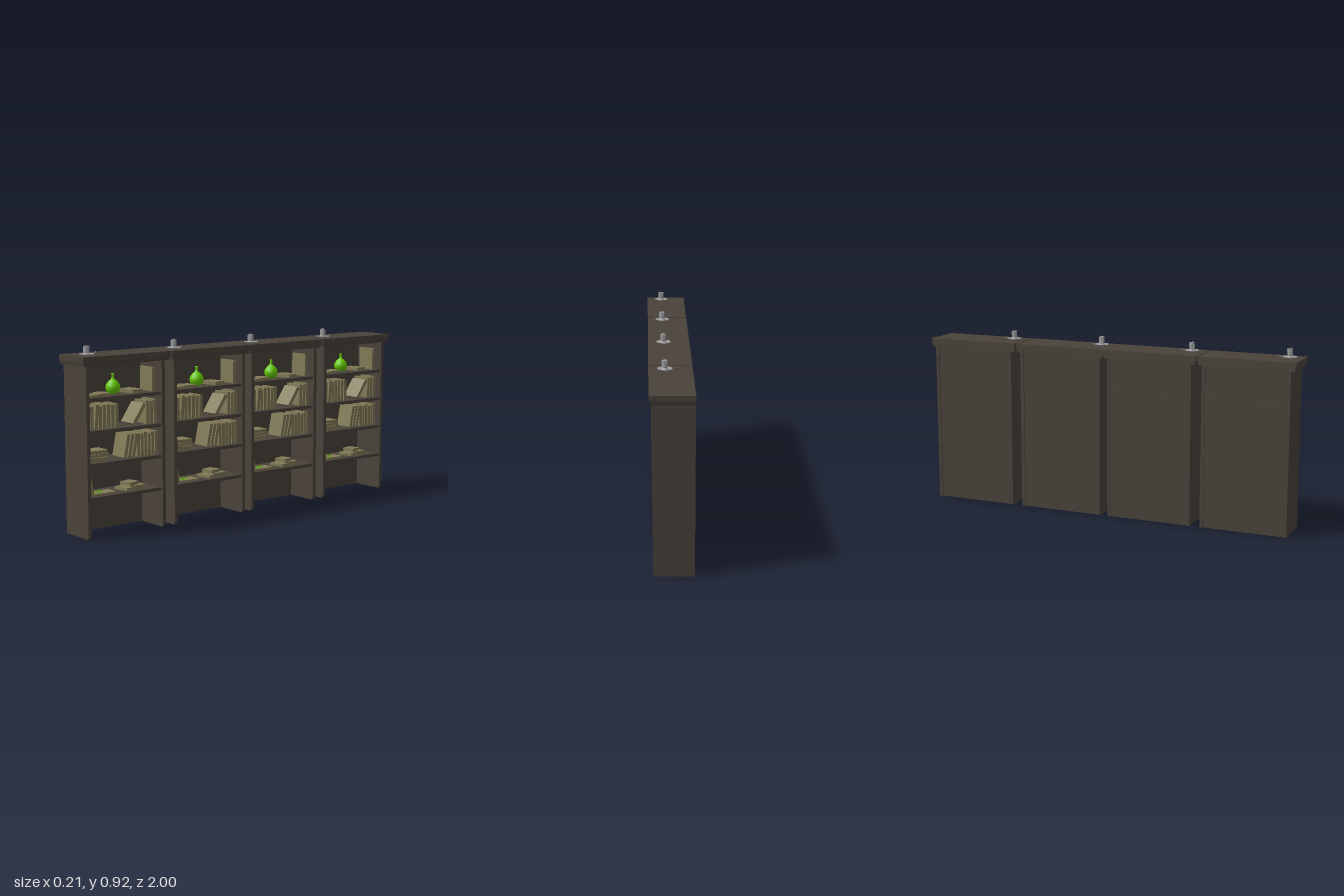
import * as THREE from 'three';

const wood = new THREE.MeshStandardMaterial({ color: 0x4a433b });
const paper = new THREE.MeshStandardMaterial({ color: 0x827b58 });
const green = new THREE.MeshStandardMaterial({ color: 0x66cc00 });
const grey = new THREE.MeshStandardMaterial({ color: 0xcccccc });
const metal = new THREE.MeshStandardMaterial({ color: 0x9a9a9c, side: THREE.DoubleSide });

const BACK = -0.105, FRONT = 0.086, HALF = 0.225, SIDE = 0.018;
const SHELVES = [0.198, 0.359, 0.514, 0.669]; // top surfaces

function add(parent, name, geometry, material, x = 0, y = 0, z = 0) {
  const mesh = new THREE.Mesh(geometry, material);
  mesh.name = name;
  mesh.position.set(x, y, z);
  parent.add(mesh);
  return mesh;
}

// Box given by its two x, y and z limits
function slab(parent, name, x0, x1, y0, y1, z0, z1, material = wood) {
  return add(parent, name, new THREE.BoxGeometry(x1 - x0, y1 - y0, z1 - z0), material,
    (x0 + x1) / 2, (y0 + y1) / 2, (z0 + z1) / 2);
}

// Upright book standing on y, leaning by tilt about its foot
function uprightBook(parent, z, y, height, thick, depth, tilt = 0, x = 0) {
  const geo = new THREE.BoxGeometry(depth, height, thick).translate(0, height / 2, 0);
  const book = add(parent, 'book', geo, paper, x, y + Math.abs(Math.sin(tilt)) * thick / 2, z);
  book.rotation.x = tilt;
}

// Book lying flat, turned a little
function flatBook(parent, z, y, length, thick, depth, turn = 0, x = 0) {
  add(parent, 'flatBook', new THREE.BoxGeometry(depth, thick, length), paper, x, y + thick / 2, z).rotation.y = turn;
}

function carcass(parent) {
  // Side panels with a chamfered front foot
  const outline = new THREE.Shape([
    [BACK, 0], [FRONT - 0.01, 0], [FRONT, 0.016], [FRONT, 0.822], [BACK, 0.822],
  ].map(([x, y]) => new THREE.Vector2(x, y)));
  const panel = new THREE.ExtrudeGeometry(outline, { depth: SIDE, bevelEnabled: false });
  add(parent, 'sidePanel', panel, wood, 0, 0, HALF - SIDE);
  add(parent, 'sidePanel', panel, wood, 0, 0, -HALF);

  // Inset back and the shelves, whose rear edges show behind it
  const inner = HALF - SIDE;
  slab(parent, 'backPanel', BACK + 0.006, BACK + 0.014, 0, 0.822, -inner, inner);
  for (const y of SHELVES) slab(parent, 'shelf', BACK + 0.002, FRONT - 0.008, y - 0.016, y, -inner, inner);

  // Cornice: a moulding flaring upward, then a flat top
  const moulding = new THREE.BoxGeometry(1, 0.02, 2);
  const p = moulding.attributes.position;
  for (let i = 0; i < p.count; i++) {
    const upper = p.getY(i) > 0;
    p.setX(i, p.getX(i) < 0 ? BACK : upper ? 0.101 : 0.096);
    p.setZ(i, Math.sign(p.getZ(i)) * (upper ? 0.247 : 0.242));
  }
  moulding.computeVertexNormals();
  add(parent, 'corniceMoulding', moulding, wood, 0, 0.831, 0);
  slab(parent, 'corniceTop', BACK, 0.103, 0.841, 0.865, -0.249, 0.249);
}

function books(parent) {
  const [s0, s1, s2, s3] = SHELVES;
  // Third shelf: a row, one slumped book, and a short row
  const heights = [0.113, 0.11, 0.116, 0.108, 0.114, 0.115, 0.11, 0.114];
  heights.forEach((h, i) => uprightBook(parent, 0.196 - i * 0.0235, s2, h, 0.018, 0.1, i === 2 ? -0.08 : 0));
  uprightBook(parent, -0.066, s2, 0.113, 0.018, 0.1, -0.6);
  for (let i = 0; i < 3; i++) uprightBook(parent, -0.148 - i * 0.022, s2, heights[i], 0.018, 0.1);

  // Second shelf: a stack, leaning books and a row
  flatBook(parent, 0.15, s1, 0.115, 0.02, 0.095);
  flatBook(parent, 0.14, s1 + 0.021, 0.125, 0.015, 0.09, 0.06);
  flatBook(parent, 0.142, s1 + 0.037, 0.12, 0.016, 0.085, -0.05);
  for (let i = 0; i < 3; i++) uprightBook(parent, -0.014 - i * 0.023, s1, 0.115, 0.017, 0.1, -0.2);
  for (let i = 0; i < 6; i++) uprightBook(parent, -0.092 - i * 0.0208, s1, heights[i], 0.017, 0.1);

  // Bottom shelf: a leaning book and a loose pile
  uprightBook(parent, 0.172, s0, 0.11, 0.016, 0.1, 0.2);
  flatBook(parent, -0.04, s0, 0.06, 0.014, 0.085, 0.2, 0.005);
  flatBook(parent, -0.095, s0, 0.075, 0.02, 0.085, -0.12);
  flatBook(parent, -0.07, s0 + 0.021, 0.065, 0.015, 0.065, 0.25);

  // Top shelf
  flatBook(parent, 0.15, s3, 0.06, 0.008, 0.08, 0.15);
  flatBook(parent, 0.085, s3, 0.06, 0.011, 0.08, -0.2);
  flatBook(parent, -0.085, s3, 0.07, 0.017, 0.09, 0.2);
  uprightBook(parent, -0.182, s3, 0.117, 0.016, 0.1);
}

function ornaments(parent) {
  // Round flask with a narrow neck
  const flask = [[0, 0], [0.018, 0], [0.03, 0.011], [0.036, 0.028], [0.033, 0.045], [0.022, 0.06],
    [0.01, 0.069], [0.007, 0.075], [0.006, 0.092], [0.009, 0.097], [0, 0.097]];
  add(parent, 'flask', new THREE.LatheGeometry(flask.map(([x, y]) => new THREE.Vector2(x, y)), 20),
    green, -0.004, SHELVES[3], 0.016);

  // Loose sheet with a pair of spectacles
  slab(parent, 'openBook', -0.03, 0.04, SHELVES[0], SHELVES[0] + 0.006, 0.035, 0.155, paper);
  for (const dz of [-0.01, 0.01]) {
    const lens = new THREE.TorusGeometry(0.008, 0.002, 6, 14).rotateY(Math.PI / 2);
    add(parent, 'spectacleRim', lens, green, 0.03, SHELVES[0] + 0.011, 0.128 + dz);
  }
  for (const dz of [-0.018, 0.018]) {
    slab(parent, 'spectacleArm', 0, 0.03, SHELVES[0] + 0.01, SHELVES[0] + 0.013, 0.127 + dz, 0.13 + dz, green);
  }
}

function candlestick() {
  const group = new THREE.Group();
  group.name = 'candlestick';
  const dish = [[0, 0], [0.022, 0], [0.037, 0.006], [0.036, 0.008], [0.022, 0.003], [0.017, 0.003], [0.016, 0.012], [0, 0.012]];
  add(group, 'dish', new THREE.LatheGeometry(dish.map(([x, y]) => new THREE.Vector2(x, y)), 14), metal);
  add(group, 'candle', new THREE.CylinderGeometry(0.013, 0.014, 0.04, 12), metal, 0, 0.026, 0);
  add(group, 'wick', new THREE.CylinderGeometry(0.001, 0.001, 0.007, 5), grey, 0, 0.048, 0);
  // Wax runs down the candle
  for (const [a, y, h] of [[0.3, 0.032, 0.02], [2.2, 0.028, 0.026], [4.1, 0.035, 0.014]]) {
    add(group, 'waxDrip', new THREE.CapsuleGeometry(0.0025, h, 3, 6), metal, Math.cos(a) * 0.0135, y, Math.sin(a) * 0.0135);
  }
  // Carrying handle
  const path = new THREE.CatmullRomCurve3([[0, 0.006, -0.034], [-0.005, 0.008, -0.046], [-0.01, 0.014, -0.057]]
    .map((v) => new THREE.Vector3(...v)));
  add(group, 'handle', new THREE.TubeGeometry(path, 8, 0.002, 6), metal);
  return group;
}

export function createModel() {
  const model = new THREE.Group();
  model.name = 'bookcaseRow';
  // Four matching bookcases side by side, open towards +x
  for (const z of [0.751, 0.247, -0.246, -0.751]) {
    const bookcase = new THREE.Group();
    bookcase.name = 'bookcase';
    carcass(bookcase);
    books(bookcase);
    ornaments(bookcase);
    const candle = candlestick();
    candle.position.set(0.026, 0.865, 0.18);
    bookcase.add(candle);
    bookcase.position.z = z;
    model.add(bookcase);
  }
  return model;
}
